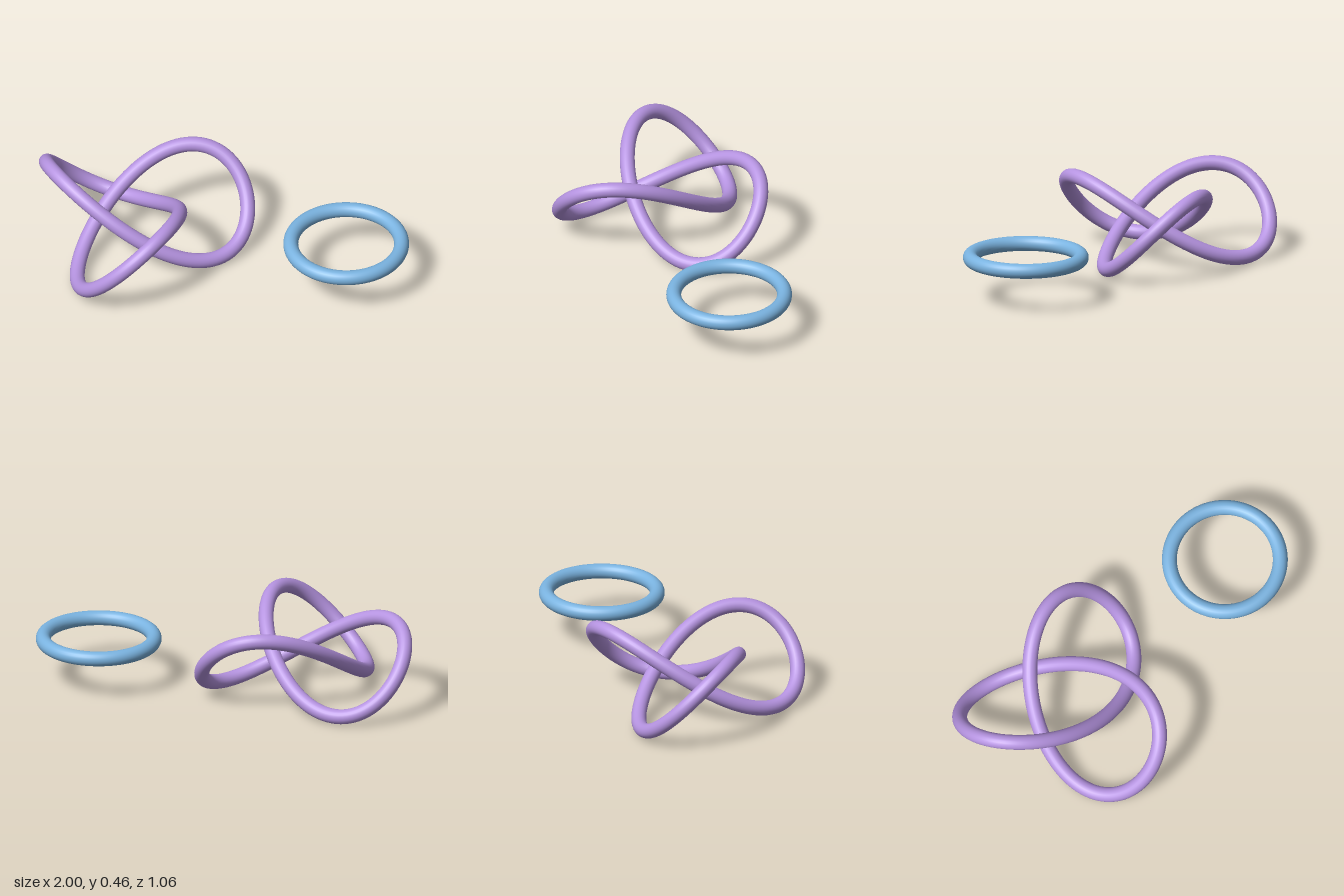
import * as THREE from 'three';

const TUBE_RADIUS = 0.0387;

// Closed trefoil curve, lying flat with one lobe towards the front
class TrefoilCurve extends THREE.Curve {
  constructor(scale) {
    super();
    this.scale = scale;
  }
  getPoint(u, target = new THREE.Vector3()) {
    const t = u * Math.PI * 2;
    return target.set(
      Math.sin(t) + 2 * Math.sin(2 * t),
      -Math.sin(3 * t),
      2 * Math.cos(2 * t) - Math.cos(t)
    ).multiplyScalar(this.scale);
  }
}

function addPart(group, name, geometry, color, x) {
  const mesh = new THREE.Mesh(geometry, new THREE.MeshStandardMaterial({ color }));
  mesh.name = name;
  mesh.position.set(x, 0.235, -0.1);
  group.add(mesh);
}

export function createModel() {
  const group = new THREE.Group();
  group.name = 'knotAndRing';

  // Purple trefoil knot
  const knot = new THREE.TubeGeometry(new TrefoilCurve(0.1937), 240, TUBE_RADIUS, 24, true);
  addPart(group, 'trefoilKnot', knot, 0xb593e0, -0.432);

  // Blue plain ring, lying flat beside the knot
  const ring = new THREE.TorusGeometry(0.287, TUBE_RADIUS, 24, 128);
  ring.rotateX(Math.PI / 2);
  addPart(group, 'ring', ring, 0x7ab3e0, 0.674);

  return group;
}
